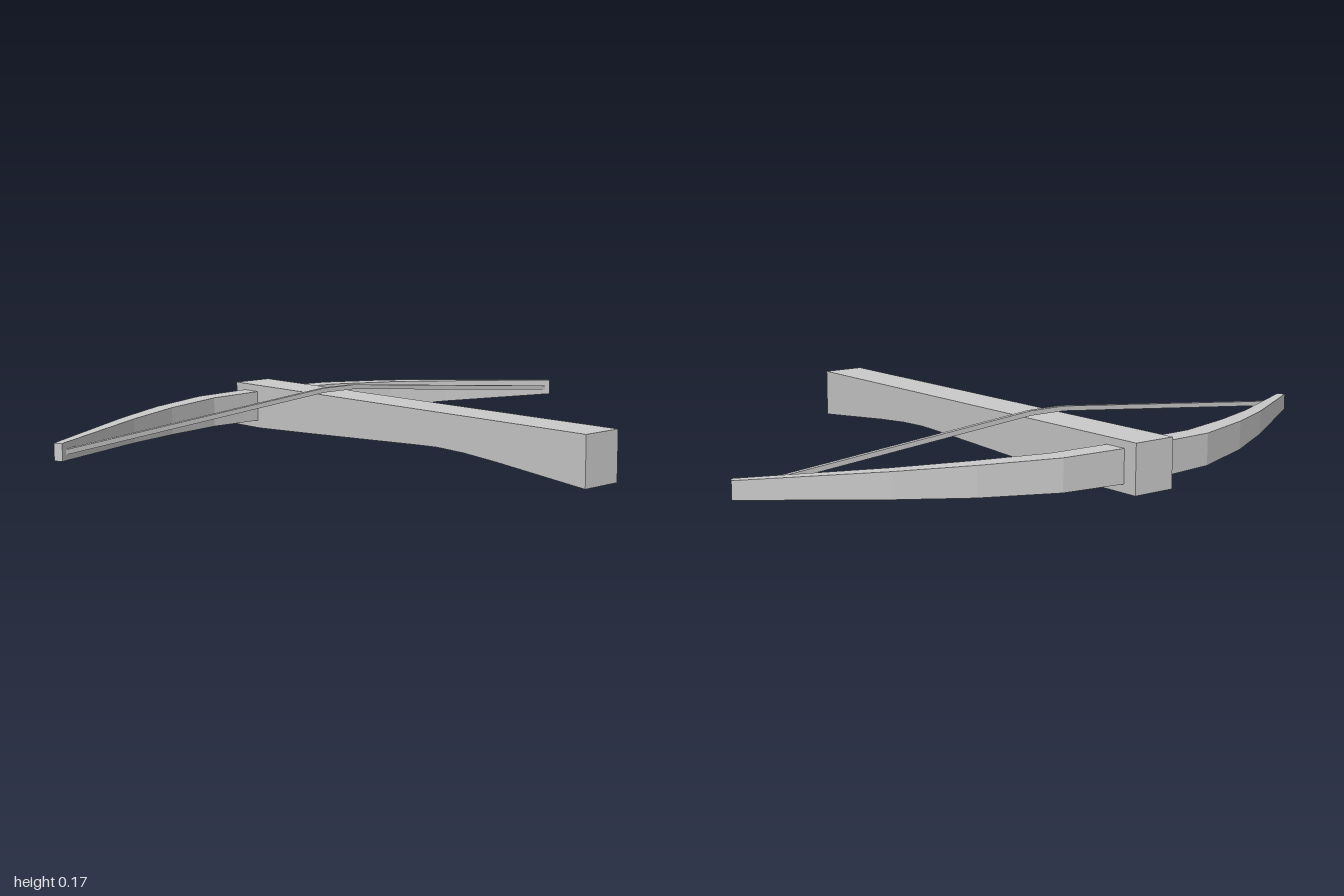
import * as THREE from 'three';

const material = new THREE.MeshStandardMaterial({ color: 0xcccccc, flatShading: true });

function addPart(group, name, geometry) {
  const mesh = new THREE.Mesh(geometry, material);
  mesh.name = name;
  group.add(mesh);
  return mesh;
}

// Lofts rectangular sections, ordered by rising z, into a closed solid.
// Section: [outer x, outer z, inner x, inner z, bottom y, top y]
function loft(sections) {
  const positions = [];
  const index = [];
  for (const [ox, oz, ix, iz, y0, y1] of sections) {
    positions.push(ox, y0, oz, ix, y0, iz, ix, y1, iz, ox, y1, oz);
  }
  const quad = (a, b, c, d) => index.push(a, b, c, a, c, d);
  for (let i = 0; i < sections.length - 1; i++) {
    for (let j = 0; j < 4; j++) {
      const k = (j + 1) % 4;
      quad(i * 4 + j, i * 4 + k, i * 4 + 4 + k, i * 4 + 4 + j);
    }
  }
  const e = (sections.length - 1) * 4;
  quad(3, 2, 1, 0);
  quad(e, e + 1, e + 2, e + 3);
  const geometry = new THREE.BufferGeometry();
  geometry.setAttribute('position', new THREE.Float32BufferAttribute(positions, 3));
  geometry.setIndex(index);
  const flat = geometry.toNonIndexed();
  flat.computeVertexNormals();
  return flat;
}

// Mirrors half a list of sections (z > 0) to the other side
function mirrored(half) {
  const other = half.map(([ox, oz, ix, iz, y0, y1]) => [ox, -oz, ix, -iz, y0, y1]);
  return [...other.reverse(), ...half];
}

export function createModel() {
  const crossbow = new THREE.Group();
  crossbow.name = 'crossbow';

  // Stock: side profile with a hollowed underside
  const profile = new THREE.Shape([
    [-0.745, 0.008], [-0.62, 0.008], [-0.4, 0.018], [0.14, 0.044],
    [0.2, 0.046], [0.3, 0.043], [0.42, 0.034], [0.745, 0.003], [0.745, 0.148], [-0.745, 0.148],
  ].map(([x, y]) => new THREE.Vector2(x, y)));
  const stock = new THREE.ExtrudeGeometry(profile, { depth: 0.132, bevelEnabled: false });
  stock.translate(0, 0, -0.066);
  addPart(crossbow, 'stock', stock);

  // Bow: curved limbs tapering toward the tips
  const limb = [
    [-0.702, 0.06, -0.634, 0.06, 0.032, 0.127],
    [-0.685, 0.26, -0.62, 0.25, 0.034, 0.125],
    [-0.607, 0.475, -0.555, 0.455, 0.038, 0.121],
    [-0.513, 0.665, -0.474, 0.645, 0.044, 0.115],
    [-0.318, 1.0, -0.296, 0.988, 0.055, 0.104],
  ];
  addPart(crossbow, 'bow', loft(mirrored(limb)));

  // String: rises from the tips and lies flat over the stock
  const cord = [
    [-0.317, 0.06, -0.304, 0.06, 0.155, 0.169],
    [-0.317, 0.975, -0.304, 0.975, 0.07, 0.084],
  ];
  addPart(crossbow, 'bowString', loft(mirrored(cord)));

  return crossbow;
}
